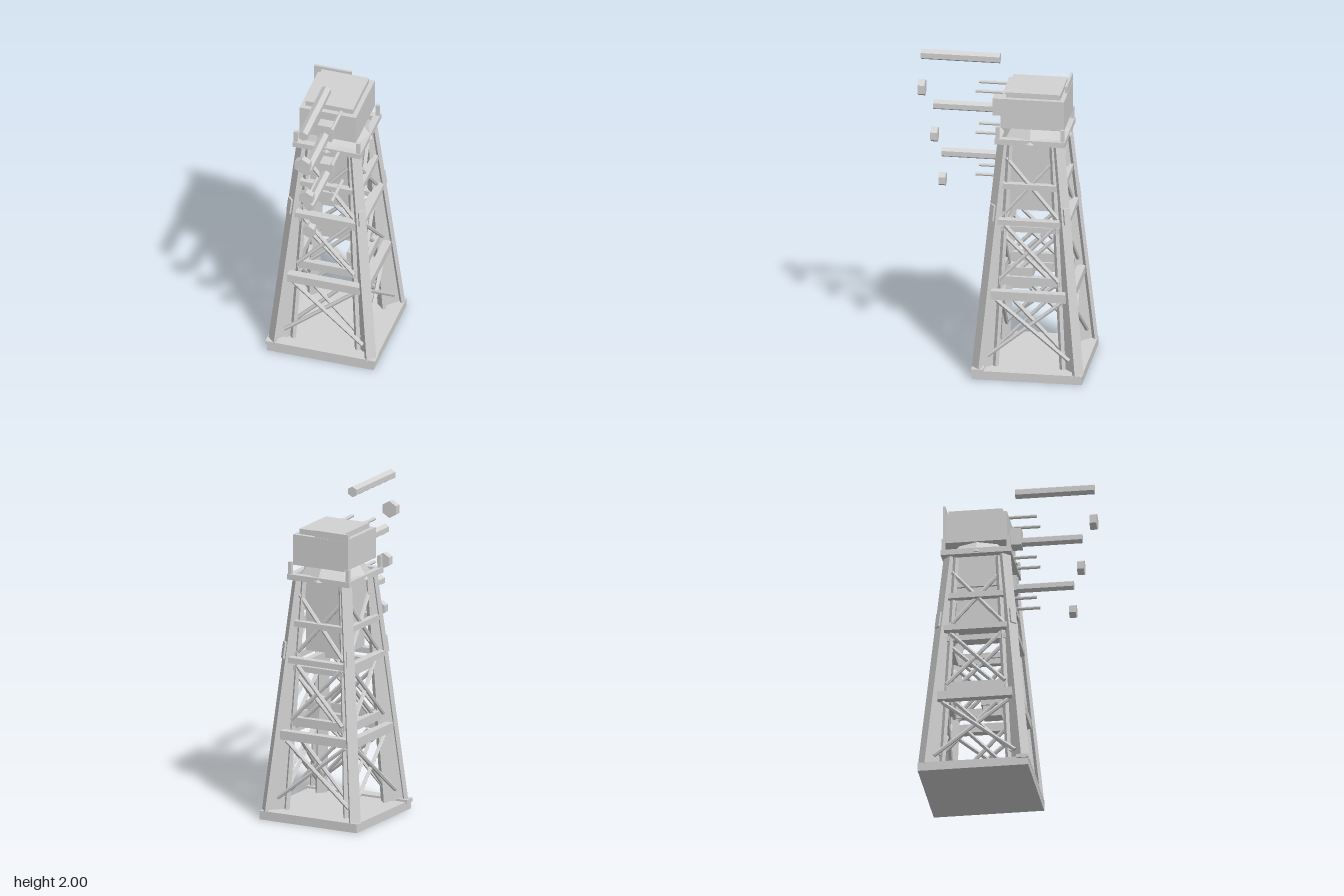
import * as THREE from 'three';

const steel = new THREE.MeshStandardMaterial({ color: 0xd2d2d2, flatShading: true });
steel.name = 'greySteel';
const V = (x, y, z) => new THREE.Vector3(x, y, z);

function add(parent, name, geometry) {
  const mesh = new THREE.Mesh(geometry, steel);
  mesh.name = name;
  parent.add(mesh);
  return mesh;
}

// Box given by its min and max corners
function box(parent, name, x0, x1, y0, y1, z0, z1) {
  const m = add(parent, name, new THREE.BoxGeometry(x1 - x0, y1 - y0, z1 - z0));
  m.position.set((x0 + x1) / 2, (y0 + y1) / 2, (z0 + z1) / 2);
}

// Round bar between two points
function bar(parent, name, a, b, radius, sides) {
  const dir = b.clone().sub(a);
  const m = add(parent, name, new THREE.CylinderGeometry(radius, radius, dir.length(), sides));
  m.position.copy(a).add(b).multiplyScalar(0.5);
  m.quaternion.setFromUnitVectors(V(0, 1, 0), dir.normalize());
}

// Hexagonal prism along z
function hexPrism(parent, name, y, z0, z1, radius) {
  const m = add(parent, name, new THREE.CylinderGeometry(radius, radius, z1 - z0, 6));
  m.rotation.x = Math.PI / 2;
  m.position.set(0, y, (z0 + z1) / 2);
}

// Upright plate in the diagonal plane of a corner; points are (radius, height)
function cornerPlate(parent, name, points, width) {
  const shape = new THREE.Shape(points.map(p => new THREE.Vector2(...p)));
  const g = new THREE.ExtrudeGeometry(shape, { depth: width, bevelEnabled: false });
  g.translate(0, 0, -width / 2);
  add(parent, name, g).rotation.y = -Math.PI / 4;
}

// Tapered I-section leg
function leg(parent) {
  const y0 = 0.05, y1 = 1.485, t = 0.025;
  const o0 = 0.452, o1 = 0.258, i0 = 0.297, i1 = 0.19;
  cornerPlate(parent, 'legOuterFlange', [[o0 - t, y0], [o0, y0], [o1, y1], [o1 - t, y1]], 0.066);
  cornerPlate(parent, 'legInnerFlange', [[i0, y0], [i0 + t, y0], [i1 + t, y1], [i1, y1]], 0.066);
  cornerPlate(parent, 'legWeb', [[i0 + t, y0], [o0 - t, y0], [o1 - t, y1], [i1 + t, y1]], 0.012);
  const r = y => o0 + (o1 - o0) * (y - y0) / (y1 - y0);
  cornerPlate(parent, 'legSplice', [[r(1), 1], [r(1) + 0.012, 1], [r(1.1) + 0.012, 1.1], [r(1.1), 1.1]], 0.04);
}

// One side of the tower: a leg, the horizontal beams and the cross braces
function towerSide(parent) {
  leg(parent);
  // half length, bottom, top, distance out, depth
  const beams = [
    [0.23, 0.5, 0.555, 0.25, 0.05], [0.185, 0.58, 0.635, 0.2, 0.04],
    [0.205, 0.975, 1.01, 0.215, 0.05], [0.18, 0.92, 0.955, 0.18, 0.04],
    [0.175, 1.2, 1.235, 0.19, 0.04], [0.215, 1.49, 1.525, 0.195, 0.04],
  ];
  for (const [h, y0, y1, d, t] of beams) box(parent, 'crossBeam', -h, h, y0, y1, d - t / 2, d + t / 2);
  // lower half width, lower y, upper half width, upper y, inner plane
  const braces = [
    [0.25, 0.13, 0.2, 0.49, false], [0.23, 0.14, 0.12, 0.5, true],
    [0.18, 0.62, 0.15, 0.96, false], [0.17, 0.57, 0.15, 0.88, true],
    [0.17, 1.02, 0.15, 1.39, false],
  ];
  for (const [x0, y0, x1, y1, inner] of braces) {
    const out = y => inner ? 0.22 - 0.05 * y : 0.285 - 0.09 * y;
    for (const s of [-1, 1]) {
      bar(parent, 'diagonalBrace', V(s * x0, y0, out(y0) + s * 0.006), V(-s * x1, y1, out(y1) + s * 0.006), 0.013, 6);
    }
  }
  // railing post on the deck corner
  box(parent, 'deckPost', 0.188, 0.21, 1.5, 1.6, 0.188, 0.21);
}

export function createModel() {
  const model = new THREE.Group();
  model.name = 'tower';
  const tower = new THREE.Group();
  tower.name = 'towerFrame';
  tower.position.z = -0.187;
  model.add(tower);

  // base
  box(tower, 'baseSlab', -0.338, 0.338, 0, 0.055, -0.338, 0.338);
  box(tower, 'baseFrontEdge', -0.348, 0.348, 0.045, 0.068, 0.265, 0.339);

  for (let k = 0; k < 4; k++) {
    const side = new THREE.Group();
    side.name = 'towerSide';
    side.rotation.y = k * Math.PI / 2;
    tower.add(side);
    towerSide(side);
  }

  // inner chambers and eight-sided collar under the cabin
  box(tower, 'upperChamber', -0.145, 0.145, 1.3, 1.5, -0.145, 0.145);
  box(tower, 'lowerChamber', -0.13, 0.13, 1.04, 1.3, -0.13, 0.13);
  add(tower, 'collar', new THREE.CylinderGeometry(0.16, 0.227, 0.095, 8)).position.y = 1.5475;

  // cabin with roof cap and back plate
  box(tower, 'cabin', -0.178, 0.178, 1.585, 1.775, -0.205, 0.185);
  box(tower, 'roofCap', -0.15, 0.15, 1.775, 1.808, -0.178, 0.154);
  box(tower, 'backPlate', -0.203, 0.032, 1.6, 1.818, -0.203, -0.188);

  // small cabinet inside the frame
  box(tower, 'cabinet', 0.1, 0.2, 0.62, 0.69, -0.015, 0.125);
  box(tower, 'cabinetStand', 0.11, 0.19, 0.55, 0.62, -0.005, 0.11);

  // paired rods on the front
  for (const y of [1.777, 1.507, 1.235]) {
    for (const x of [-0.075, 0.075]) bar(model, 'frontRod', V(x, y, -0.06), V(x, y, 0.165), 0.011, 8);
  }

  // mounts, long hexagonal arms and the short hexagonal blocks
  box(model, 'armMount', -0.045, 0.045, 1.61, 1.72, -0.01, 0.065);
  box(model, 'armMount', -0.04, 0.04, 1.31, 1.41, -0.06, 0.037);
  box(model, 'armMount', -0.035, 0.035, 1.08, 1.18, -0.06, 0.015);
  for (const [y, z0, z1, r] of [[1.967, 0.025, 0.508, 0.033], [1.643, 0, 0.434, 0.031], [1.335, 0, 0.382, 0.03]])
    hexPrism(model, 'arm', y, z0, z1, r);
  for (const [y, z, r] of [[1.75, 0.504, 0.053], [1.448, 0.427, 0.048], [1.16, 0.378, 0.043]])
    hexPrism(model, 'hexBlock', y, z - 0.021, z + 0.021, r);

  return model;
}
